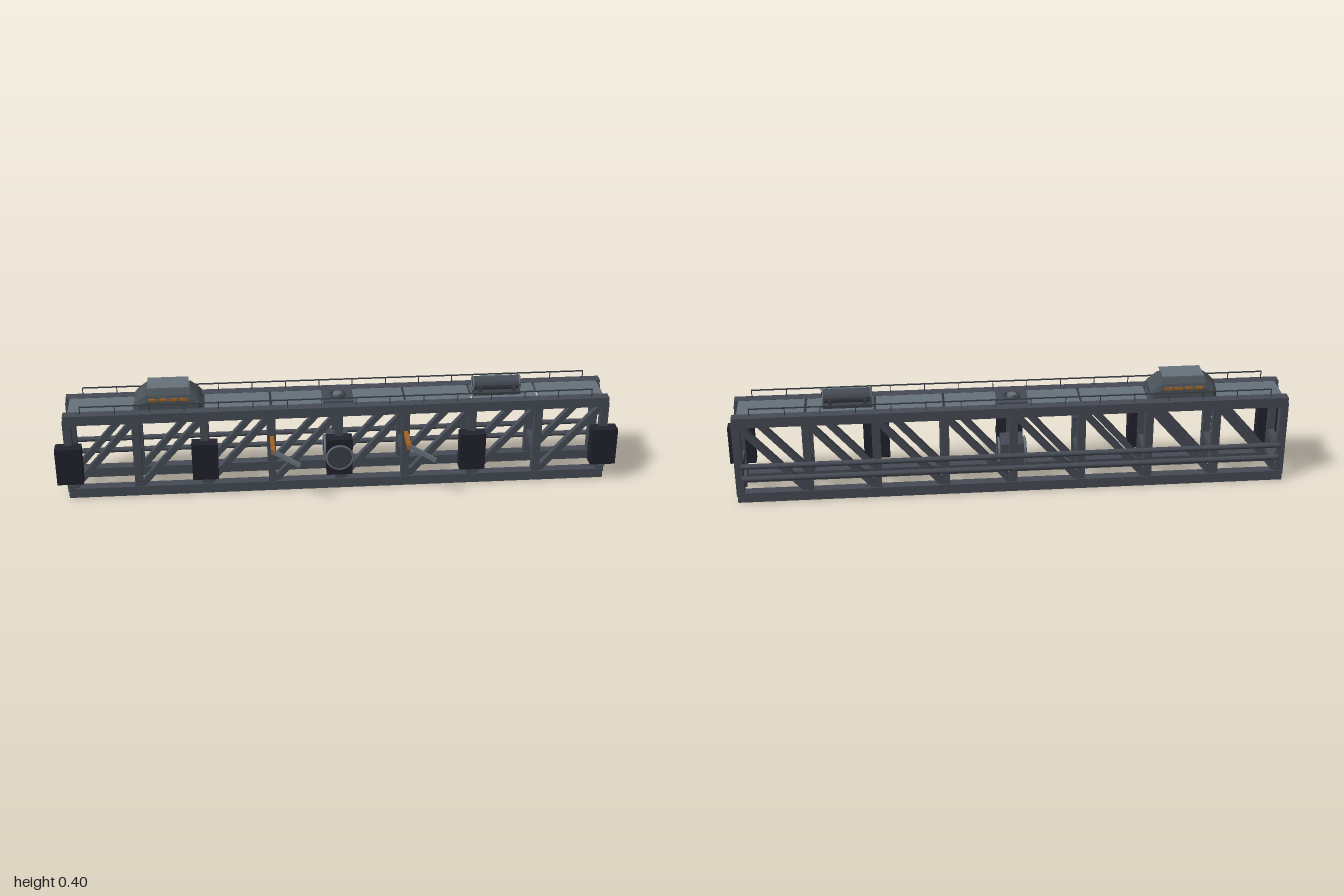
import * as THREE from 'three';

const mat = (name, color, side = THREE.FrontSide) => {
  const m = new THREE.MeshStandardMaterial({ color, side });
  m.name = name;
  return m;
};

export function createModel() {
  const root = new THREE.Group();
  root.name = 'trussGantry';
  const steel = mat('steel', 0x464b55);
  const deck = mat('deckGrey', 0x66717a);
  const black = mat('lampBlack', 0x22222d);
  const orange = mat('orange', 0xa5631f);
  const dark = mat('darkSteel', 0x3b4148);

  const add = (name, geo, m, x, y, z, parent = root) => {
    const mesh = new THREE.Mesh(geo, m);
    mesh.name = name;
    mesh.position.set(x, y, z);
    parent.add(mesh);
    return mesh;
  };
  const box = (name, w, h, d, m, x, y, z, parent) =>
    add(name, new THREE.BoxGeometry(w, h, d), m, x, y, z, parent);
  // Cylinder along x, or along z when alongZ is true
  const rod = (name, r, len, m, x, y, z, alongZ = false, parent = root) => {
    const g = new THREE.CylinderGeometry(r, r, len, 24);
    if (alongZ) g.rotateX(Math.PI / 2);
    else g.rotateZ(Math.PI / 2);
    return add(name, g, m, x, y, z, parent);
  };
  // Square beam between two points
  const beam = (name, a, b, w, d, m, parent = root) => {
    const p = new THREE.Vector3(...a), q = new THREE.Vector3(...b);
    const mesh = box(name, w, d, p.distanceTo(q), m, 0, 0, 0, parent);
    mesh.position.copy(p).add(q).multiplyScalar(0.5);
    mesh.lookAt(q);
    return mesh;
  };

  const bay = 0.2385;
  const posts = [-4, -3, -2, -1, 0, 1, 2, 3, 4].map(i => i * bay);
  const frontZ = 0.012, rearZ = -0.132, midZ = -0.06;

  // Two lattice side trusses with hand rails
  for (const [name, z] of [['frontTruss', frontZ], ['rearTruss', rearZ]]) {
    const g = new THREE.Group();
    g.name = name;
    root.add(g);
    box('bottomChord', 1.93, 0.036, 0.036, steel, 0, 0.018, z, g);
    box('topChord', 1.93, 0.036, 0.036, steel, 0, 0.307, z, g);
    posts.forEach((x, i) => {
      box('post', 0.028, 0.28, 0.03, steel, x, 0.1625, z, g);
      if (i < 8) beam('diagonal', [x, 0.025, z], [x + bay, 0.3, z], 0.022, 0.022, steel, g);
    });
    box('handRail', 1.81, 0.004, 0.004, dark, 0, 0.354, z + (z > 0 ? 0.003 : -0.004), g);
    for (let i = 0; i < 16; i++) {
      box('railPost', 0.003, 0.03, 0.003, dark, -0.904 + i * 0.1205, 0.339, z + (z > 0 ? 0.003 : -0.004), g);
    }
  }

  // Deck panels with open seams, and cross ties
  for (let i = 0; i < 8; i++)
    box('deckPanel', bay - 0.009, 0.011, 0.112, deck, (i - 3.5) * bay, 0.3185, midZ);
  for (const x of posts) box('crossTie', 0.022, 0.027, 0.125, steel, x, 0.116, midZ);

  // Service pipes along the rear
  for (const y of [0.092, 0.14]) rod('pipe', 0.0095, 1.89, steel, 0, y, -0.149);

  // Front lamp housings
  for (const x of [-4, -2, 0, 2, 4])
    box('lampHousing', 0.092, 0.14, 0.047, black, x * bay, 0.14, 0.0345);
  rod('lensDisc', 0.044, 0.005, dark, 0, 0.14, 0.06, true);
  add('lensRing', new THREE.TorusGeometry(0.046, 0.004, 8, 32), deck, 0, 0.14, 0.06);

  // Tilted feet at both ends
  for (const x of [-4 * bay, 4 * bay])
    beam('tiltedFoot', [x, 0.066, 0.036], [x, 0.022, -0.06], 0.028, 0.027, steel);

  // Round drive unit inside the middle bay
  box('driveBox', 0.08, 0.095, 0.094, steel, 0, 0.117, midZ);
  for (const s of [-1, 1]) {
    rod('driveDrum', 0.045, 0.012, dark, s * 0.043, 0.116, midZ);
    const ring = add('driveRing', new THREE.TorusGeometry(0.047, 0.0045, 8, 32), deck, s * 0.046, 0.116, midZ);
    ring.rotation.y = Math.PI / 2;
  }

  // Orange arms with hanging blades
  for (const x of [-bay, bay]) {
    box('arm', 0.014, 0.018, 0.112, orange, x, 0.211, 0.078);
    beam('armBlade', [x - 0.004, 0.215, 0.127], [x + 0.092, 0.165, 0.15], 0.012, 0.014, deck);
    add('armPivot', new THREE.SphereGeometry(0.014, 16, 10), steel, x, 0.211, 0.001 - 0.002);
  }

  // Domed cabin: rounded cross-section, drawn in towards both ends
  const cabin = new THREE.Group();
  cabin.name = 'cabin';
  cabin.position.set(-0.597, 0.324, midZ);
  root.add(cabin);
  const section = [[0.057, 0], [0.057, 0.032], [0.049, 0.052], [0.034, 0.066], [0.018, 0.07]];
  const profile = [...section, ...section.slice().reverse().map(([z, y]) => [-z, y])];
  const stations = [[-0.117, 0.9, 0.5], [-0.105, 1, 0.68], [-0.078, 1, 1], [0.078, 1, 1], [0.105, 1, 0.68], [0.117, 0.9, 0.5]];
  const pos = [], idx = [], n = profile.length;
  for (const [x, sz, sy] of stations)
    for (const [z, y] of profile) pos.push(x, y * sy, z * sz);
  for (let s = 0; s < stations.length - 1; s++)
    for (let k = 0; k < n; k++) {
      const a = s * n + k, b = s * n + (k + 1) % n;
      idx.push(a, a + n, b, b, a + n, b + n);
    }
  const last = (stations.length - 1) * n;
  for (let k = 1; k < n - 1; k++) idx.push(0, k, k + 1, last, last + k + 1, last + k);
  const shell = new THREE.BufferGeometry();
  shell.setAttribute('position', new THREE.Float32BufferAttribute(pos, 3));
  shell.setIndex(idx);
  const flat = shell.toNonIndexed();
  flat.computeVertexNormals();
  const shellMat = mat('cabinGrey', 0x495157, THREE.DoubleSide);
  add('cabinShell', flat, shellMat, 0, 0, 0, cabin);
  box('cabinRoofPlate', 0.145, 0.004, 0.086, deck, 0, 0.076, 0, cabin);
  for (const s of [-1, 1]) {
    for (let i = 0; i < 4; i++)
      box('cabinVent', 0.028, 0.009, 0.006, orange, -0.054 + i * 0.036, 0.037, s * 0.056, cabin);
    box('roofSupport', 0.006, 0.01, 0.04, dark, s * 0.06, 0.071, 0, cabin);
  }

  // Centre hatch
  box('hatchBase', 0.11, 0.006, 0.104, steel, 0, 0.327, midZ);
  const hatchRing = add('hatchRing', new THREE.TorusGeometry(0.026, 0.004, 8, 24), dark, 0, 0.332, midZ);
  hatchRing.rotation.x = Math.PI / 2;
  add('hatchCap', new THREE.CylinderGeometry(0.016, 0.016, 0.01, 20), deck, 0, 0.334, midZ);

  // Drum winch on the right of the deck
  const winch = new THREE.Group();
  winch.name = 'winch';
  winch.position.set(0.57, 0.357, midZ);
  root.add(winch);
  rod('winchDrum', 0.025, 0.165, steel, 0, 0, 0, false, winch);
  box('winchBase', 0.17, 0.01, 0.07, dark, 0, -0.028, 0, winch);
  for (const s of [-1, 1]) {
    const ring = add('winchRing', new THREE.TorusGeometry(0.025, 0.003, 8, 24), deck, s * 0.083, 0, 0, winch);
    ring.rotation.y = Math.PI / 2;
    box('winchBracket', 0.012, 0.03, 0.066, dark, s * 0.06, -0.018, 0, winch);
    box('winchSideBar', 0.165, 0.006, 0.006, dark, 0, 0.002, s * 0.03, winch);
  }
  box('winchHandle', 0.12, 0.005, 0.008, deck, 0, 0.026, 0, winch);

  return root;
}
